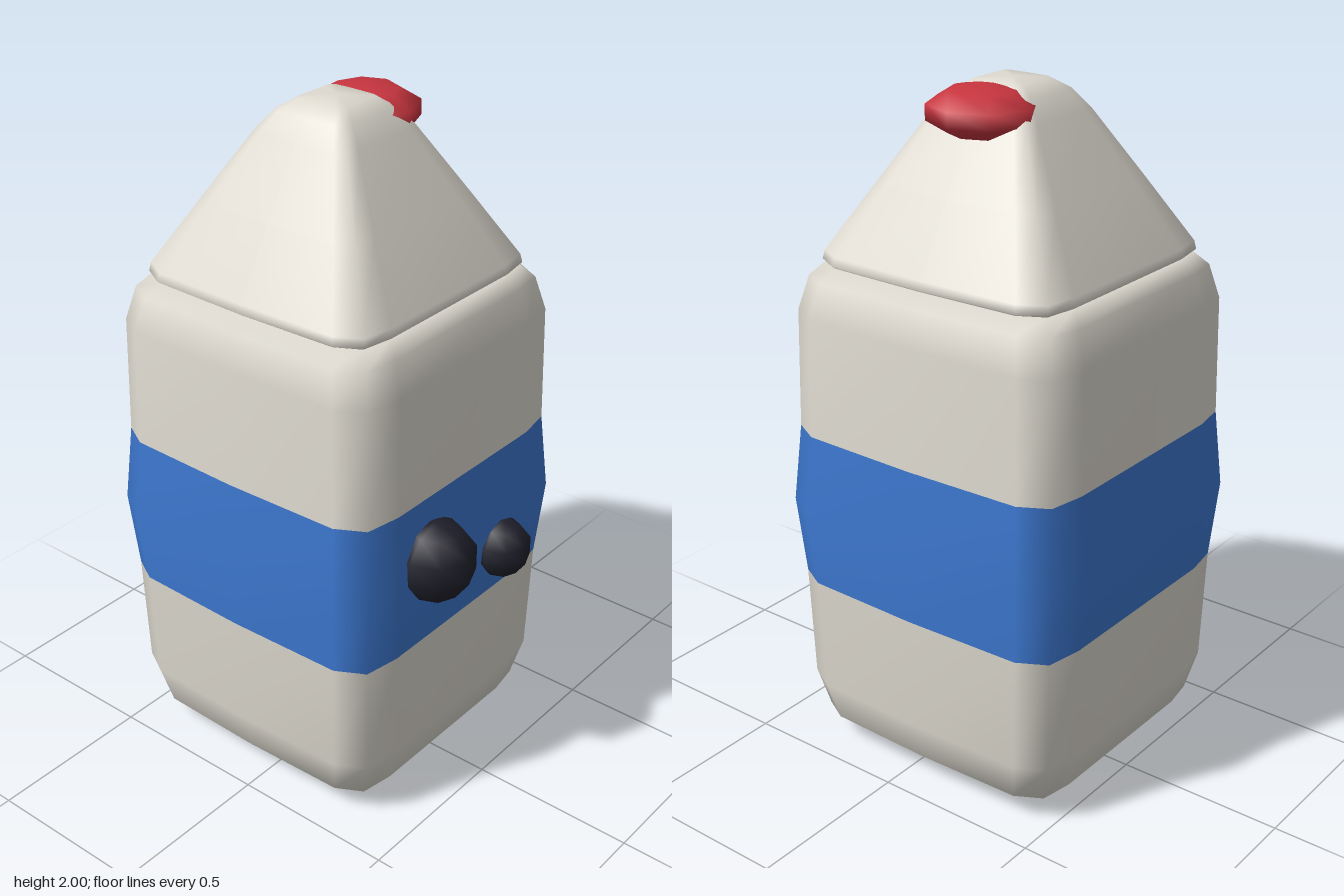
import * as THREE from 'three';

const CENTER_Z = -0.063;

// Rounded-square cross-section of half width 1, running from +x towards +z
const corner = [[0.98, 0.78], [0.88, 0.96], [0.645, 1]];
const flip = (sx, sz) => corner.map(([x, z]) => [x * sx, z * sz]);
const section = [
  [1, 0], ...flip(1, 1), ...flip(-1, 1).reverse(),
  [-1, 0], ...flip(-1, -1), ...flip(1, -1).reverse(),
];

// Skin a list of [height, halfWidth, materialIndex] rings; a zero width makes a pole
function loft(rings) {
  const n = section.length, pos = [], index = [];
  const geo = new THREE.BufferGeometry();
  rings.forEach(([y, h]) => section.forEach(([x, z]) => pos.push(x * h, y, z * h + CENTER_Z)));
  const id = (r, i) => r * n + (rings[r][1] === 0 ? 0 : i % n);
  for (let r = 0; r < rings.length - 1; r++) {
    const start = index.length;
    for (let i = 0; i < n; i++) {
      const a = id(r, i), b = id(r, i + 1), c = id(r + 1, i), d = id(r + 1, i + 1);
      if (a !== b) index.push(a, c, b);
      if (c !== d) index.push(b, c, d);
    }
    geo.addGroup(start, index.length - start, rings[r][2] || 0);
  }
  geo.setAttribute('position', new THREE.Float32BufferAttribute(pos, 3));
  geo.setIndex(index);
  geo.computeVertexNormals();
  return geo;
}

export function createModel() {
  const mat = (name, color) => {
    const m = new THREE.MeshStandardMaterial({ color });
    m.name = name;
    return m;
  };
  const cream = mat('cream', 0xdedad0);
  const blue = mat('blue', 0x3d78d0);
  const red = mat('red', 0xc8353f);
  const black = mat('black', 0x20202c);

  const group = new THREE.Group();
  const add = (name, geo, material) => {
    const mesh = new THREE.Mesh(geo, material);
    mesh.name = name;
    group.add(mesh);
    return mesh;
  };

  // Body with a bulging blue band round the middle
  add('body', loft([
    [0.005, 0], [0.025, 0.35], [0.08, 0.42], [0.2, 0.45],
    [0.545, 0.46, 1], [0.78, 0.48, 1],
    [1.01, 0.46], [1.36, 0.454], [1.46, 0.428], [1.5, 0.39], [1.5, 0],
  ]), [cream, blue]);

  // Pointed head with a small lip at its base
  add('head', loft([
    [1.49, 0], [1.495, 0.385], [1.505, 0.398], [1.53, 0.393],
    [1.72, 0.28], [1.91, 0.165], [1.965, 0.122], [1.993, 0.08], [2, 0],
  ]), [cream]);

  // Coarse balls: flattened red tip and two black buttons
  const ball = (name, material, r, x, y, z, flat = 1) => {
    const mesh = add(name, new THREE.SphereGeometry(r, 8, 5), material);
    mesh.scale.y = flat;
    mesh.position.set(x, y, z);
  };
  ball('redTip', red, 0.162, 0.122, 1.928, CENTER_Z, 0.44);
  ball('largeButton', black, 0.121, -0.165, 0.822, 0.424);
  ball('smallButton', black, 0.089, 0.16, 0.698, 0.424);

  return group;
}
